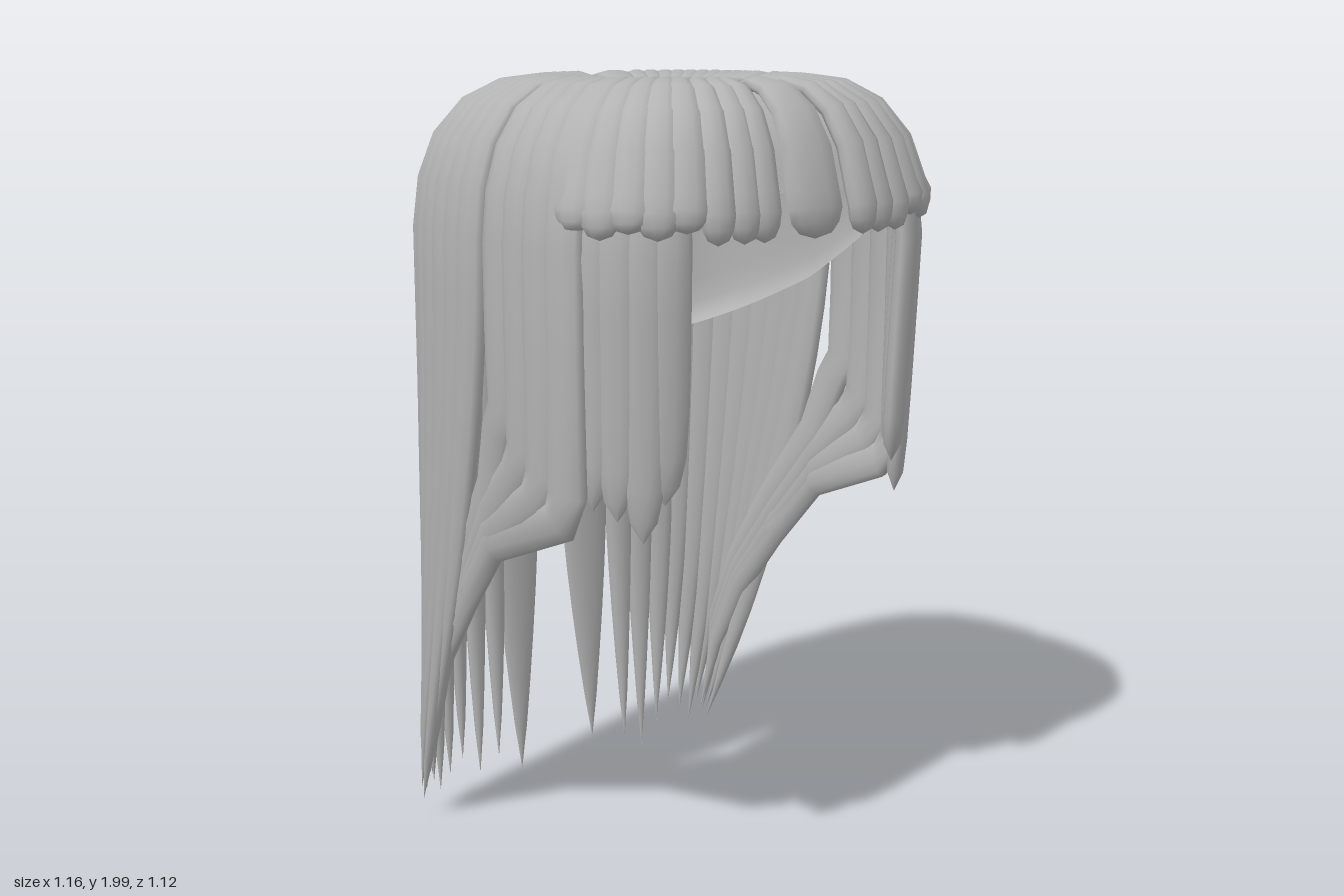
import * as THREE from 'three';

const HALF_X = 0.555, HALF_Z = 0.535, POWER = 3.2;
const RAD = Math.PI / 180;
const hair = new THREE.MeshStandardMaterial({ color: 0xb3b3b3, side: THREE.DoubleSide });
hair.name = 'hair grey';

// Rounded-square outline of the head; angle is measured from the front (+z) towards +x
function outline(deg) {
  const sx = Math.sin(deg * RAD), cz = Math.cos(deg * RAD);
  const r = (Math.abs(sx / HALF_X) ** POWER + Math.abs(cz / HALF_Z) ** POWER) ** (-1 / POWER);
  return [sx * r, cz * r];
}

// Crown profile: [way from parting ring to outline, height]
const CROWN = [[0, 1.968], [0.2, 1.98], [0.45, 1.965], [0.68, 1.92], [0.86, 1.84], [0.96, 1.74], [1, 1.62]];

function crownPath(deg, count, scale = 1) {
  const [x, z] = outline(deg);
  const sx = Math.sin(deg * RAD), cz = Math.cos(deg * RAD);
  const inner = cz > 0 ? 0.25 + 0.03 * cz : 0.25;
  return CROWN.slice(0, count).map(([k, y]) => new THREE.Vector3(
    THREE.MathUtils.lerp(sx * inner, x * scale, k), y - (1 - scale) * 0.4,
    THREE.MathUtils.lerp(cz * inner, z * scale, k)));
}

// A flat lens-shaped lock swept along crown + tail, tapering to a point over the tail
function lockGeometry(crown, tail, width, taper, thick = 0.027) {
  const path = [...crown, ...tail], SIDES = 10;
  const pos = [], index = [];
  const rows = path.map((p, i) => {
    const T = path[Math.min(i + 1, path.length - 1)].clone().sub(path[Math.max(i - 1, 0)]).normalize();
    const gx = Math.sign(p.x) * Math.abs(p.x / HALF_X) ** (POWER - 1);
    const gz = Math.sign(p.z) * Math.abs(p.z / HALF_Z) ** (POWER - 1);
    const g = new THREE.Vector3(gx, 0, gz).normalize();
    const N = new THREE.Vector3(-g.z, 0, g.x).cross(T).normalize();
    if (N.dot(g) + N.y < 0) N.negate();
    const B = new THREE.Vector3().crossVectors(T, N);
    const grow = i < crown.length ? CROWN[i][0] : 1;
    const u = Math.max(0, (i - crown.length + 1) / tail.length);
    const fade = 1 - u ** taper;
    return { p, N, B, w: width * (0.45 + 0.55 * grow) * fade, h: thick * (0.5 + 0.5 * grow) * Math.sqrt(fade) };
  });
  rows.unshift({ ...rows[0], w: 0, h: 0 });
  rows.forEach(({ p, N, B, w, h }, i) => {
    for (let j = 0; j < SIDES; j++) {
      const a = j / SIDES * Math.PI * 2;
      const v = p.clone().addScaledVector(B, w * Math.cos(a)).addScaledVector(N, h * Math.sin(a));
      pos.push(v.x, v.y, v.z);
      if (i === rows.length - 1) continue;
      const c = i * SIDES + j, d = i * SIDES + (j + 1) % SIDES;
      index.push(c, c + SIDES, d, d, c + SIDES, d + SIDES);
    }
  });
  return finish(pos, index);
}

function finish(pos, index) {
  const geo = new THREE.BufferGeometry();
  geo.setAttribute('position', new THREE.Float32BufferAttribute(pos, 3));
  geo.setIndex(index);
  geo.computeVertexNormals();
  return geo;
}

// Inner cap: open below, hem slanting from the forehead down to the nape
function capGeometry() {
  const SEG = 64, pos = [], index = [];
  const rows = [[0, 1.972], [0.46, 1.968], [0.62, 1.93], [0.78, 1.87], [0.87, 1.79], [0.91, 1.72]];
  const total = rows.length + 4;
  for (let i = 0; i < total; i++) {
    for (let j = 0; j < SEG; j++) {
      const [x, z] = outline(j / SEG * 360);
      const t = z / HALF_Z;
      const hem = t > 0 ? 1.45 + 0.29 * t : 1.45 + 0.2 * t;
      let s, y;
      if (i < rows.length) [s, y] = rows[i];
      else [s, y] = [[0.92, hem + 0.12], [0.915, hem + 0.06], [0.9, hem + 0.02], [0.86, hem]][i - rows.length];
      if (i >= rows.length) y = Math.min(y, Math.max(1.72, hem));
      pos.push(x * s, Math.max(y, hem), z * s);
      if (i === total - 1) continue;
      const a = i * SEG + j, b = i * SEG + (j + 1) % SEG;
      index.push(a, a + SEG, b, b, a + SEG, b + SEG);
    }
  }
  return finish(pos, index);
}

export function createModel() {
  const model = new THREE.Group();
  model.name = 'longHair';
  const groups = {};
  const add = (name, geo) => {
    if (!groups[name]) {
      groups[name] = new THREE.Group();
      groups[name].name = name;
      model.add(groups[name]);
    }
    const mesh = new THREE.Mesh(geo, hair);
    mesh.name = name + 'Lock';
    groups[name].add(mesh);
  };
  const V = (x, y, z) => new THREE.Vector3(x, y, z);

  const cap = new THREE.Mesh(capGeometry(), hair);
  cap.name = 'innerCap';
  model.add(cap);

  // Short fringe lock hanging over the forehead
  const fringe = (deg, width, tipY) => {
    const [x, z] = outline(deg);
    const tail = [0.35, 0.65, 0.88, 1].map(u => V(x, 1.74 + (tipY - 1.74) * u, z));
    add('fringe', lockGeometry(crownPath(deg, 6), tail, width, 3));
  };
  fringe(0, 0.085, 1.635);

  for (const s of [1, -1]) {
    [16, 21.5, 28, 35, 41, 47, 53, 59].forEach((a, i) =>
      fringe(s * a, i < 3 ? 0.045 : 0.052, i < 3 ? 1.635 : 1.65 + (i % 2) * 0.015));

    // Locks framing the face
    [39, 44, 50, 56].forEach((a, i) => {
      const [x, z] = outline(s * a);
      const tipY = [1.04, 0.95, 1.0, 1.02][i];
      const tail = [0.2, 0.4, 0.6, 0.8, 0.92, 1].map(u =>
        V(x * (0.97 - 0.03 * u), 1.6 + (tipY - 1.6) * u, z * (0.97 - 0.05 * u)));
      add('faceFraming', lockGeometry(crownPath(s * a, 7, 0.97), tail, 0.055, 5));
    });

    // Side locks that drop to jaw height, then sweep sharply to the back
    [62, 69, 76, 83.5].forEach((a, i) => {
      const [x, z] = outline(s * a);
      const knee = [1.0, 1.04, 1.09, 1.18][i];
      const tail = [
        V(x, 1.4, z), V(x * 0.99, knee + 0.06, z), V(x * 0.98, knee - 0.01, z - 0.04),
        V(s * 0.53, [0.88, 0.91, 0.96, 1.02][i], -0.03),
        V(s * 0.515, [0.7, 0.72, 0.76, 0.81][i], -0.18),
        V(s * 0.5, [0.51, 0.53, 0.56, 0.6][i], -0.31),
        V(s * 0.49, [0.31, 0.33, 0.36, 0.4][i], -0.4),
        V(s * (0.47 + 0.01 * i), 0.1 + 0.03 * i, -0.445)];
      add('sweptSide', lockGeometry(crownPath(s * a, 7), tail, 0.058, 3.2));
    });

    // Long locks from the nape round to the sides, gathering towards the back
    [10, 22, 29, 36, 42, 48, 54, 60, 66, 72, 78, 84].forEach((phi, i) => {
      const shift = i === 0 && s < 0 ? 4 : 0;
      const a = s * (180 - phi - shift);
      const [x, z] = outline(a);
      const tipX = s * 0.5 * Math.sin(1.2 * (phi + shift) * RAD);
      const tipZ = phi < 40 ? -0.5 : -0.5 + 0.055 * (phi - 40) / 44;
      const tipY = i === 2 && s > 0 ? 0.003 : 0.04 + 0.09 * ((i * 0.618 + (s > 0 ? 0.4 : 0)) % 1);
      const tail = [];
      for (let n = 1; n <= 12; n++) {
        const u = n / 12, e = u ** 1.6;
        tail.push(V(x + (tipX - x) * e, 1.62 + (tipY - 1.62) * u, z + (tipZ - z) * e));
      }
      add('longBack', lockGeometry(crownPath(a, 7), tail, i === 0 ? 0.1 : 0.056, 2.6));
    });
  }
  return model;
}
